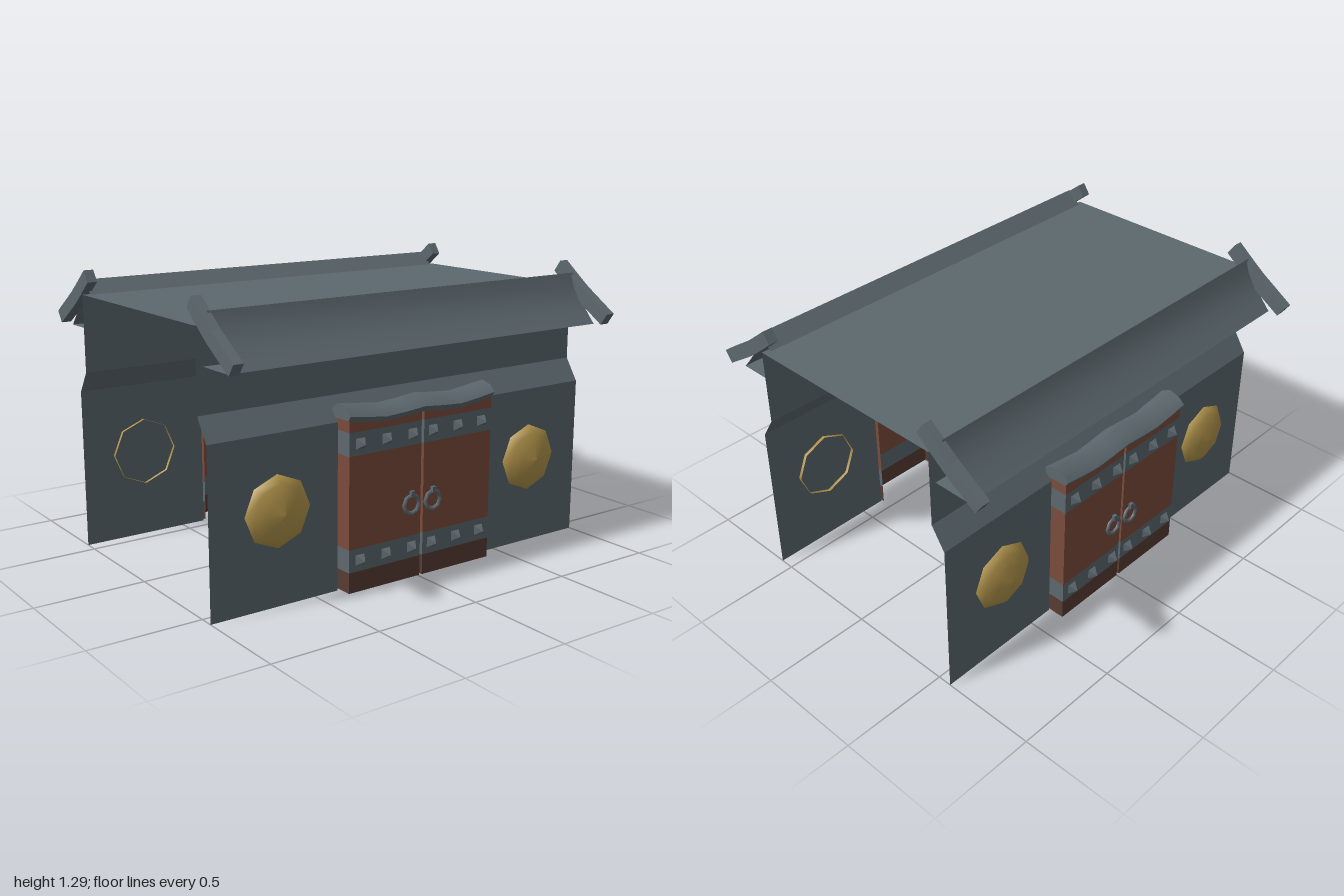
import * as THREE from 'three';
import { toCreasedNormals } from 'three/addons/utils/BufferGeometryUtils.js';

function material(name, color) {
  const m = new THREE.MeshStandardMaterial({ color, side: THREE.DoubleSide });
  m.name = name;
  return m;
}

// Thin open sheet: a polyline swept between two positions along z or y.
function sheet(points, from, to, axis = 'z', crease = 0.1) {
  const at = ([a, b], t) => (axis === 'z' ? [a, b, t] : [a, t, b]);
  const pos = [];
  for (let i = 0; i < points.length - 1; i++) {
    const p = points[i], q = points[i + 1];
    const A = at(p, from), B = at(q, from), C = at(q, to), D = at(p, to);
    pos.push(...A, ...D, ...C, ...A, ...C, ...B);
  }
  const g = new THREE.BufferGeometry();
  g.setAttribute('position', new THREE.Float32BufferAttribute(pos, 3));
  g.computeVertexNormals();
  return toCreasedNormals(g, crease);
}

// Closed solid through equal-sized rings of 3D points, with fan caps.
function loft(rings) {
  const pos = [], n = rings[0].length, last = rings.length - 1;
  for (let r = 0; r < last; r++) {
    for (let i = 0; i < n; i++) {
      const j = (i + 1) % n;
      const A = rings[r][i], B = rings[r][j], C = rings[r + 1][j], D = rings[r + 1][i];
      pos.push(...A, ...B, ...C, ...A, ...C, ...D);
    }
  }
  for (let i = 1; i < n - 1; i++) {
    pos.push(...rings[0][0], ...rings[0][i + 1], ...rings[0][i]);
    pos.push(...rings[last][0], ...rings[last][i], ...rings[last][i + 1]);
  }
  const g = new THREE.BufferGeometry();
  g.setAttribute('position', new THREE.Float32BufferAttribute(pos, 3));
  g.computeVertexNormals();
  return toCreasedNormals(g, 0.6);
}

export function createModel() {
  const slate = material('slate', 0x5c686e);
  const wood = material('red wood', 0x7a4c3c);
  const darkWood = material('dark wood', 0x573c32);
  const gold = material('gold', 0xb4964c);

  const model = new THREE.Group();
  model.name = 'gatehouse';
  const add = (parent, name, geometry, mat) => {
    const mesh = new THREE.Mesh(geometry, mat);
    mesh.name = name;
    parent.add(mesh);
    return mesh;
  };

  // Flat roof deck
  add(model, 'roofDeck', sheet([[0.5, 1.18], [-0.5, 1.18]], -1, 1), slate);

  function buildSide() {
    const side = new THREE.Group();

    // Wall sheet with a doorway, stepping in above the doors
    const foot = [[0.565, 0], [0.565, 0.73]];
    add(side, 'frontWallPanel', sheet(foot, 0.385, 1), slate);
    add(side, 'backWallPanel', sheet(foot, -1, -0.385), slate);
    add(side, 'upperWall', sheet([[0.565, 0.73], [0.5, 0.83], [0.5, 1.18]], -1, 1), slate);

    // Hollow eave: soffit, concave slope and ridge
    add(side, 'soffit', sheet([[0.5, 1.02], [0.685, 1.02]], -0.97, 0.97), slate);
    const slope = [[0.685, 1.02], [0.645, 1.065], [0.605, 1.115], [0.565, 1.18], [0.545, 1.24]];
    add(side, 'eaveSlope', sheet(slope, -0.97, 0.97, 'z', 0.5), slate);
    add(side, 'ridgeInside', sheet([[0.545, 1.24], [0.48, 1.18]], -0.97, 0.97), slate);

    // Bent boards capping the ends of the eave
    const board = new THREE.Shape([
      [0.775, 1.075], [0.615, 1.18], [0.55, 1.23], [0.475, 1.29],
      [0.44, 1.24], [0.52, 1.175], [0.585, 1.125], [0.74, 1.025],
    ].map(([x, y]) => new THREE.Vector2(x, y)));
    const boardGeometry = new THREE.ExtrudeGeometry(board, { depth: 0.045, bevelEnabled: false });
    for (const z of [0.955, -1]) add(side, 'endBoard', boardGeometry, slate).position.z = z;

    // Wavy beam above the doors
    const section = [[0.53, 0], [0.645, 0], [0.66, 0.35], [0.63, 0.78], [0.58, 1], [0.535, 0.65]];
    const stations = [
      [-0.39, 0.75, 0.815], [-0.3, 0.735, 0.803], [-0.2, 0.725, 0.79], [-0.1, 0.73, 0.797],
      [0, 0.738, 0.808],
      [0.1, 0.73, 0.797], [0.2, 0.725, 0.79], [0.3, 0.735, 0.803], [0.39, 0.75, 0.815],
    ];
    add(side, 'doorBeam', loft(stations.map(([z, low, high]) =>
      section.map(([x, t]) => [x, low + t * (high - low), z]))), slate);

    // Door leaves: hollow shells in coloured courses
    const courses = [
      ['kickBoard', 0.01, 0.1, darkWood], ['lowerBand', 0.1, 0.2, slate],
      ['doorPanel', 0.2, 0.6, wood], ['upperBand', 0.6, 0.7, slate],
      ['doorHead', 0.7, 0.75, wood],
    ];
    const studGeometry = toCreasedNormals(
      new THREE.ConeGeometry(0.032, 0.035, 4, 1, true).rotateY(Math.PI / 4), 0.2).rotateZ(-Math.PI / 2);
    const ringGeometry = new THREE.TorusGeometry(0.041, 0.01, 6, 8).rotateY(Math.PI / 2);
    for (const s of [1, -1]) {
      const leaf = new THREE.Group();
      leaf.name = 'doorLeaf';
      side.add(leaf);
      const outline = [[0.545, 0.385 * s], [0.645, 0.385 * s], [0.645, 0.007 * s], [0.545, 0.007 * s]];
      for (const [name, low, high, mat] of courses) add(leaf, name, sheet(outline, low, high, 'y'), mat);
      for (const y of [0.15, 0.65]) {
        for (const z of [0.055, 0.193, 0.328]) {
          add(leaf, 'stud', studGeometry, slate).position.set(0.6625, y, z * s);
        }
      }
      add(leaf, 'ringHandle', ringGeometry, slate).position.set(0.647, 0.34, 0.058 * s);
      const mount = add(leaf, 'handleMount', new THREE.BoxGeometry(0.02, 0.025, 0.02), slate);
      mount.position.set(0.65, 0.388, 0.058 * s);
    }

    // Eight-sided gold bosses, open behind
    const bossProfile = [[0.155, 0], [0.155, 0.02], [0.125, 0.045], [0.07, 0.065], [0, 0.08]]
      .map(([r, y]) => new THREE.Vector2(r, y));
    const bossGeometry = new THREE.LatheGeometry(bossProfile, 8).rotateZ(-Math.PI / 2);
    for (const z of [0.682, -0.697]) {
      add(side, 'wallBoss', bossGeometry, gold).position.set(0.55, 0.407, z);
    }
    return side;
  }

  // Two matching sides
  const left = buildSide();
  left.name = 'leftSide';
  const right = buildSide();
  right.name = 'rightSide';
  right.rotation.y = Math.PI;
  model.add(left, right);
  return model;
}
